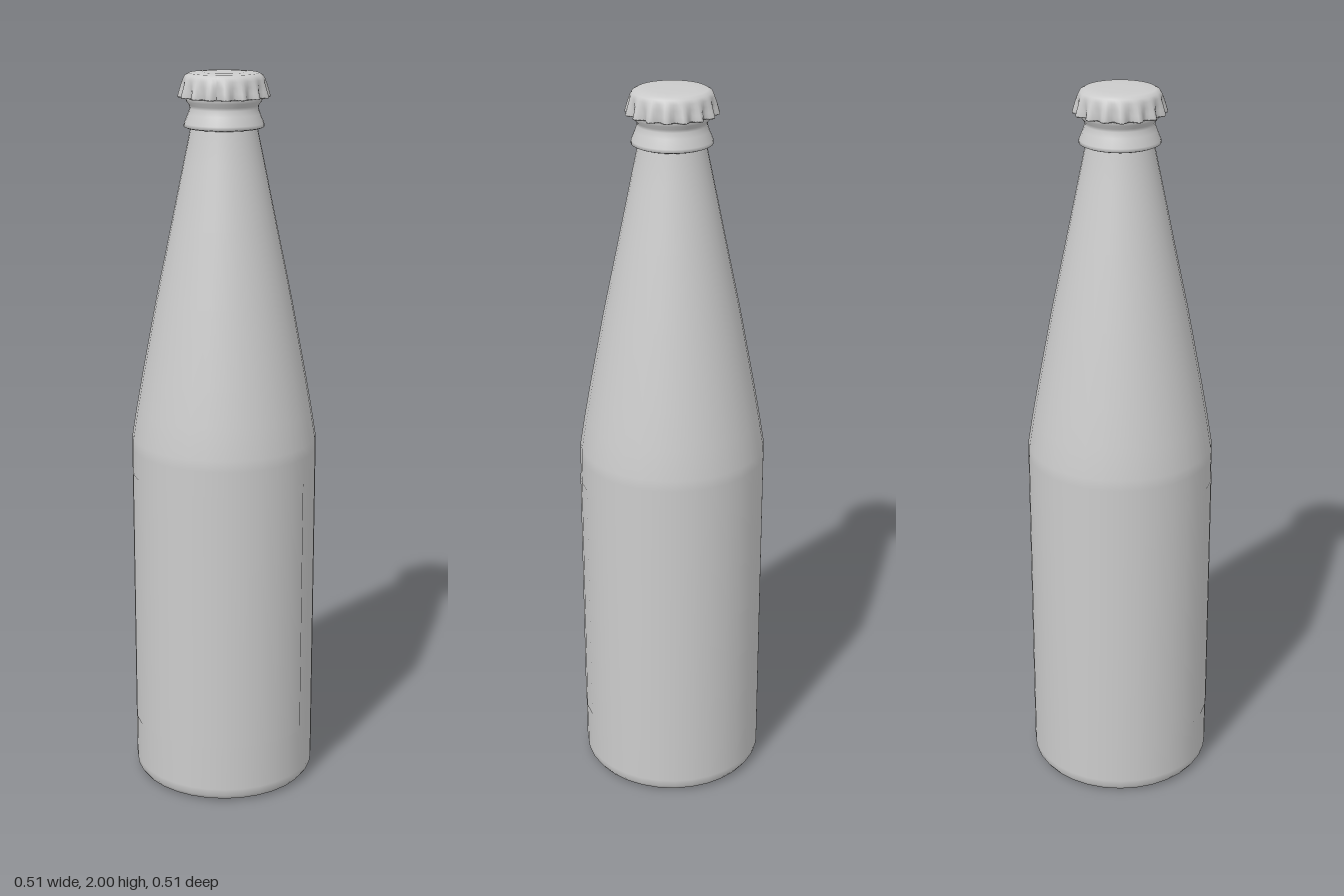
import * as THREE from 'three';

const SIDES = 32;
const FLUTES = 16;

function lathe(name, pairs, sides = SIDES, start = 0, length = Math.PI * 2) {
  const points = pairs.map(([r, y]) => new THREE.Vector2(r, y));
  const mesh = new THREE.Mesh(
    new THREE.LatheGeometry(points, sides, start, length),
    new THREE.MeshStandardMaterial({ color: 0xcccccc, side: THREE.DoubleSide })
  );
  mesh.name = name;
  return mesh;
}

export function createModel() {
  const bottle = new THREE.Group();
  bottle.name = 'bottle';

  // Glass body: dished base, straight wall, long tapering shoulder
  bottle.add(lathe('body', [
    [0, 0.03], [0.1, 0.025], [0.17, 0.012], [0.205, 0.002], [0.23, 0.001],
    [0.245, 0.007], [0.254, 0.02], [0.256, 0.04], [0.256, 0.5], [0.256, 0.98],
    [0.255, 1.01], [0.242, 1.09], [0.224, 1.19], [0.184, 1.4], [0.142, 1.6],
    [0.109, 1.76], [0.088, 1.86], [0.085, 1.9]
  ]));

  // Collar ring and lip below the cap
  bottle.add(lathe('collar', [
    [0.086, 1.861], [0.1, 1.856], [0.107, 1.859], [0.106, 1.868], [0.096, 1.892],
    [0.091, 1.907], [0.092, 1.915], [0.1, 1.925], [0.102, 1.935], [0.1, 1.96], [0, 1.965]
  ]));

  // Front label, wrapped a hair outside the glass
  const arc = THREE.MathUtils.degToRad(67.5);
  bottle.add(lathe('label', [[0.2575, 0.17], [0.2575, 0.91]], 12, -arc, arc * 2));

  // Crown cap: the skirt flares into flutes towards its lower edge
  const cap = lathe('cap', [
    [0.103, 1.94], [0.113, 1.935], [0.115, 1.938], [0.113, 1.952], [0.111, 1.967],
    [0.108, 1.982], [0.103, 1.992], [0.092, 1.998], [0.06, 2], [0, 2]
  ], FLUTES * 6);
  const p = cap.geometry.attributes.position;
  for (let i = 0; i < p.count; i++) {
    const x = p.getX(i), y = p.getY(i), z = p.getZ(i);
    const r = Math.hypot(x, z);
    if (r < 0.1035) continue;
    const depth = THREE.MathUtils.clamp((1.985 - y) / 0.045, 0, 1);
    const wave = Math.cos(FLUTES * (Math.atan2(z, x) - 0.16));
    const k = 1 + 0.009 * depth * wave / r;
    p.setXYZ(i, x * k, y, z * k);
  }
  cap.geometry.computeVertexNormals();
  bottle.add(cap);

  return bottle;
}
